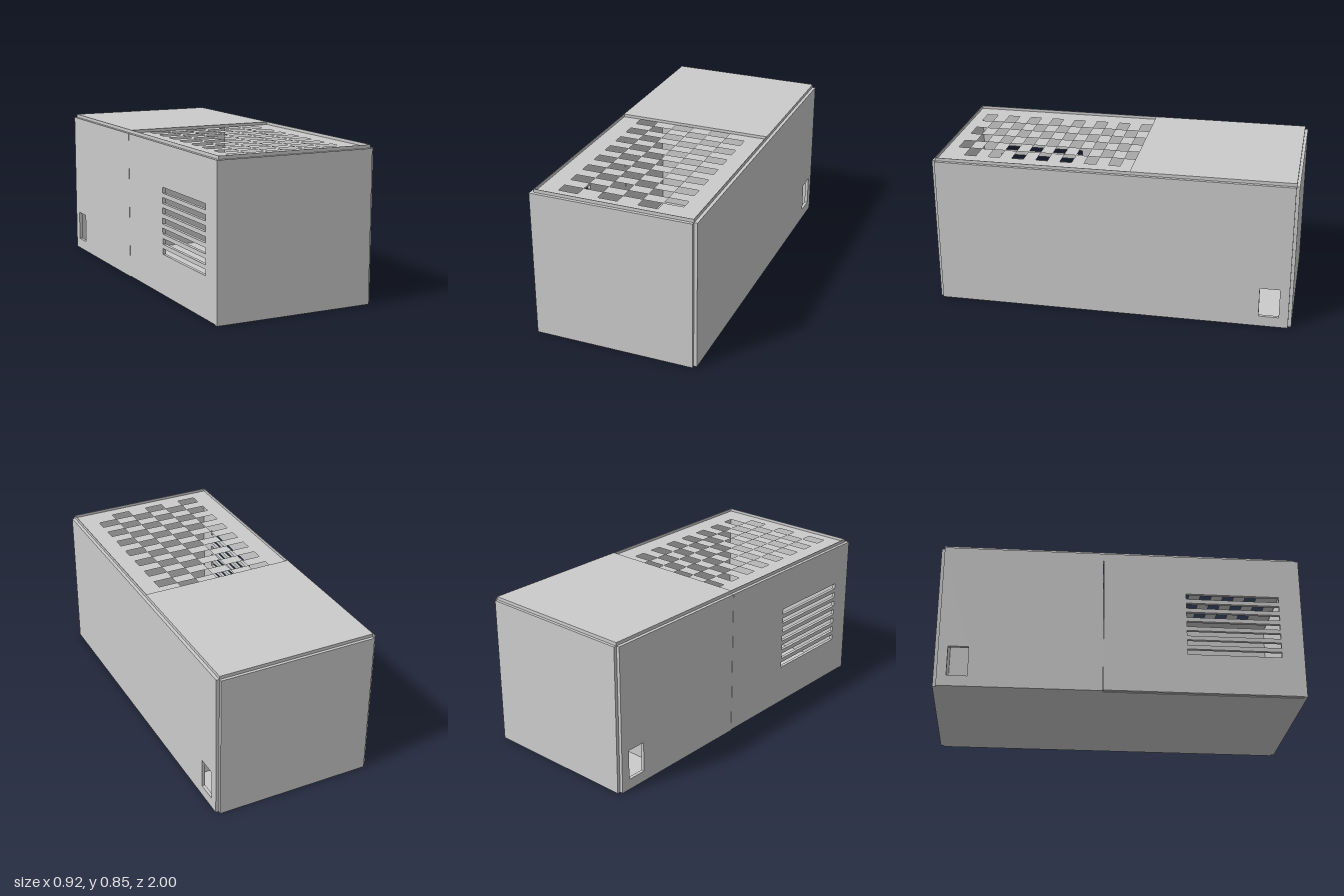
import * as THREE from 'three';

const T = 0.018;                       // sheet thickness
const H = 0.832;                       // wall height
const X0 = -0.458, X1 = 0.457, IN = 0.44;

export function createModel() {
  const model = new THREE.Group();
  const mat = new THREE.MeshStandardMaterial({ color: 0xcccccc, flatShading: true, side: THREE.DoubleSide });

  const add = (name, geometry) => {
    const mesh = new THREE.Mesh(geometry, mat);
    mesh.name = name;
    model.add(mesh);
    return mesh;
  };

  // Box given by its minimum and maximum corners
  const block = (name, a, b) => {
    const mesh = add(name, new THREE.BoxGeometry(b[0] - a[0], b[1] - a[1], b[2] - a[2]));
    mesh.position.set((a[0] + b[0]) / 2, (a[1] + b[1]) / 2, (a[2] + b[2]) / 2);
    return mesh;
  };

  const addRect = (path, u0, v0, u1, v1) => {
    path.moveTo(u0, v0);
    path.lineTo(u1, v0);
    path.lineTo(u1, v1);
    path.lineTo(u0, v1);
    path.closePath();
    return path;
  };

  // Rectangular sheet with rectangular openings, each as [u0, v0, u1, v1]
  const sheet = (outline, openings) => {
    const shape = addRect(new THREE.Shape(), ...outline);
    shape.holes = openings.map((o) => addRect(new THREE.Path(), ...o));
    return shape;
  };

  // Upright side wall: u is -z, v is y
  const sideWall = (name, x, outline, openings) => {
    const geo = new THREE.ExtrudeGeometry(sheet(outline, openings), { depth: T, bevelEnabled: false });
    geo.rotateY(Math.PI / 2);
    geo.translate(x, 0, 0);
    return add(name, geo);
  };

  // Floor, front and back
  block('floor', [-IN, 0, -0.982], [IN, T, 0.982]);
  block('frontPanel', [X0, 0, 0.982], [IN, H, 1]);
  block('backPanel', [-IN, 0, -1], [IN, H, -0.982]);

  // Side walls with cable openings near the back
  const cableOpening = [0.82, 0.06, 0.93, 0.23];
  sideWall('rightHandWall', IN, [-0.982, 0, 0.982, H], [cableOpening]);
  sideWall('rearSideWall', X0, [0.101, 0, 0.982, H], [cableOpening]);

  // Louvred wall panel
  const slots = [];
  for (let i = 0; i < 7; i++) {
    const y = 0.23 + i * 0.056;
    slots.push([-0.875, y, -0.357, y + 0.032]);
  }
  sideWall('louvredWall', X0, [-0.982, 0.004, 0.099, H], slots);

  // Inner divider below the rear cover
  block('divider', [-IN, T, -0.675], [IN, H, -0.66]);

  // Solid rear cover
  block('rearCover', [-IN, H, -0.984], [IN, 0.85, -0.1]);

  // Front cover: a shallow tray with a checkered grille
  const holes = [];
  const dx = 0.111, dz = 0.0677, gap = 0.0012;
  for (let row = 0; row < 15; row++) {
    for (let k = 0; k < 3; k++) {
      const x = -0.333 + (2 * k + (row % 2)) * dx;
      const v = 0.098 - row * dz;
      holes.push([x + gap, v - dz + gap, x + dx - gap, v - gap]);
    }
  }
  const grille = new THREE.ShapeGeometry(sheet([-IN, -0.982, IN, 0.1], holes));
  grille.rotateX(-Math.PI / 2);
  grille.translate(0, H + 0.002, 0);
  add('grilleCover', grille);

  // Thin rim around the grille
  const rim = 0.003;
  for (const s of [-1, 1]) {
    const x = s * (IN - rim / 2);
    block('grilleRimSide', [x - rim / 2, H, -0.1], [x + rim / 2, 0.85, 0.982]);
  }
  block('grilleRimFront', [-IN, H, 0.982 - rim], [IN, 0.85, 0.982]);

  return model;
}
